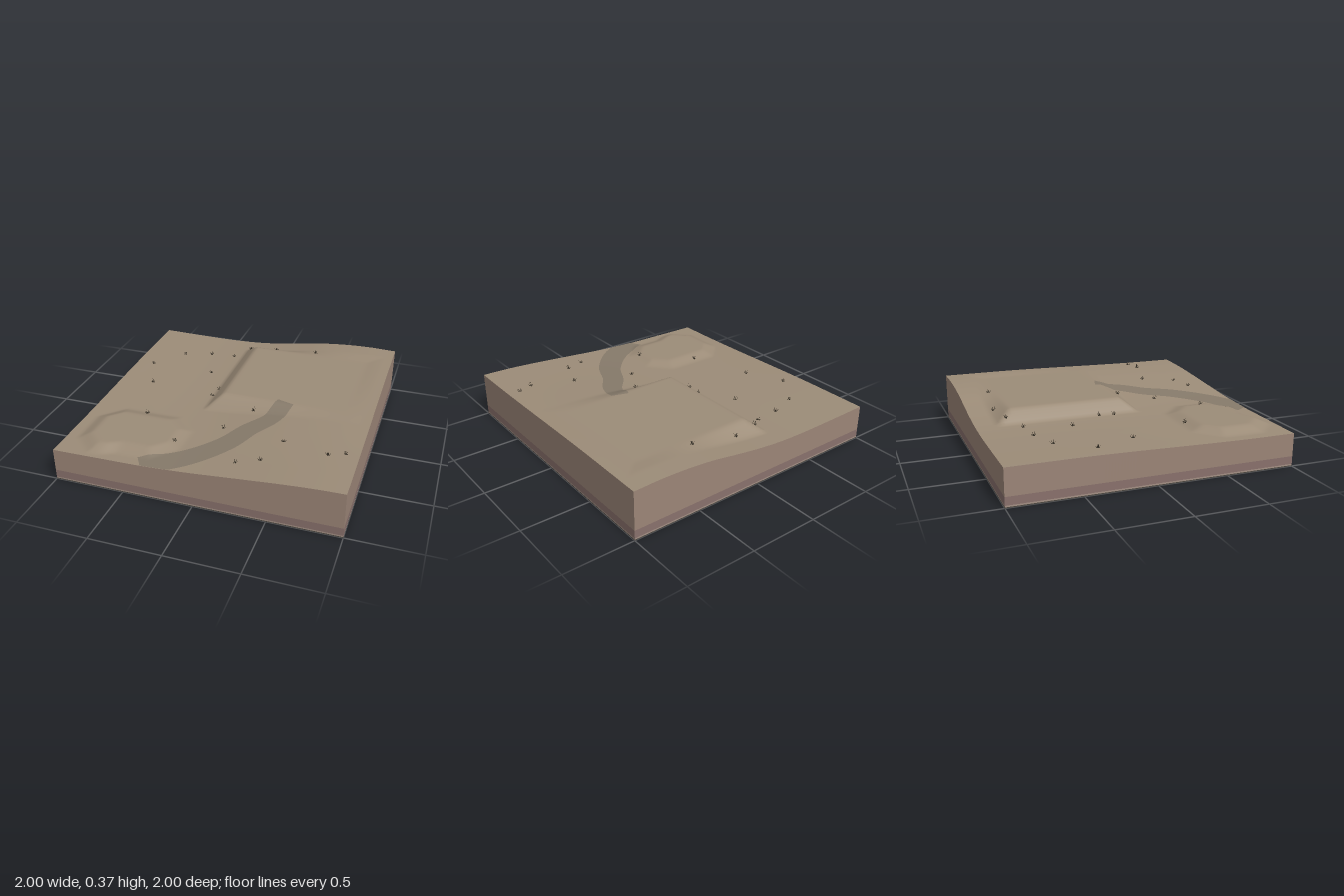
import * as THREE from 'three';

const GRID = 96;
const BAND_TOP = 0.072;
const mat = (color, side = THREE.FrontSide) => new THREE.MeshStandardMaterial({ color, side, roughness: 1 });
const clamp01 = (v) => Math.min(1, Math.max(0, v));

// Natural slope: cross profiles along x at the front and back, every 0.2 units
const FRONT = [0.235, 0.237, 0.24, 0.243, 0.246, 0.251, 0.264, 0.281, 0.298, 0.314, 0.326, 0.331];
const BACK = [0.258, 0.254, 0.251, 0.25, 0.256, 0.274, 0.302, 0.333, 0.351, 0.357, 0.352];
FRONT.splice(4, 1);
function profile(list, x) {
  const f = clamp01((x + 1) / 2) * (list.length - 1);
  const i = Math.min(list.length - 2, Math.floor(f)), t = f - i;
  const a = list[Math.max(0, i - 1)], b = list[i], c = list[i + 1], d = list[Math.min(list.length - 1, i + 2)];
  // Catmull-Rom blend keeps the hillside smooth
  return b + 0.5 * t * (c - a + t * (2 * a - 5 * b + 4 * c - d + t * (3 * (b - c) + d - a)));
}

// 1 inside a rectangle, falling to 0 across its banks
function pad(x, z, x0, x1, z0, z1, bank, corner = 0) {
  const dx = Math.max(x0 - x, x - x1, 0), dz = Math.max(z0 - z, z - z1, 0);
  const cx = Math.abs(x - (x0 + x1) / 2), cz = Math.abs(z - (z0 + z1) / 2);
  const cut = corner ? Math.max(0, (cx + cz - (x1 - x0 + z1 - z0) / 2 + corner) * 0.7) : 0;
  return clamp01(1 - Math.max(dx, dz, cut) / bank);
}

function heightAt(x, z) {
  const t = THREE.MathUtils.smoothstep(-z, -0.8, 0.6);
  let h = THREE.MathUtils.lerp(profile(FRONT, x), profile(BACK, x), t);
  // Large levelled terrace and small lower terrace
  h = THREE.MathUtils.lerp(h, 0.345, pad(x, z, -0.1, 0.82, -0.74, 0.09, 0.11));
  const z1 = 0.87 - 0.05 * THREE.MathUtils.smoothstep(x, -0.7, -0.55);
  return THREE.MathUtils.lerp(h, 0.277, pad(x, z, -0.82, -0.27, 0.45, z1, 0.09, 0.1));
}

// Terrain block: box whose top follows the height rule
function makeGround() {
  const geo = new THREE.BoxGeometry(2, 1, 2, GRID, 1, GRID);
  const p = geo.attributes.position;
  for (let i = 0; i < p.count; i++) {
    p.setY(i, p.getY(i) > 0 ? heightAt(p.getX(i), p.getZ(i)) : BAND_TOP);
  }
  geo.computeVertexNormals();
  const soil = mat(0x9b8577), turf = mat(0x9c8c78);
  const mesh = new THREE.Mesh(geo, [soil, soil, turf, soil, soil, soil]);
  mesh.name = 'ground';
  return mesh;
}

function layer(name, y0, y1, color) {
  const mesh = new THREE.Mesh(new THREE.BoxGeometry(2, y1 - y0, 2), mat(color));
  mesh.position.y = (y0 + y1) / 2;
  mesh.name = name;
  return mesh;
}

// Worn track draped over the ground
function makeTrack() {
  const curve = new THREE.CatmullRomCurve3(
    [[-0.36, 1.0], [-0.1, 0.84], [0.1, 0.62], [0.2, 0.42], [0.31, 0.26], [0.37, 0.07]]
      .map(([x, z]) => new THREE.Vector3(x, 0, z)));
  const along = 80, across = 10;
  const geo = new THREE.PlaneGeometry(1, 1, across, along);
  const p = geo.attributes.position;
  for (let j = 0; j <= along; j++) {
    const c = curve.getPoint(j / along), d = curve.getTangent(j / along);
    const half = THREE.MathUtils.lerp(0.1, 0.065, j / along);
    for (let i = 0; i <= across; i++) {
      const s = (i / across * 2 - 1) * half;
      const x = c.x - d.z * s, z = Math.min(1, c.z + d.x * s);
      p.setXYZ(j * (across + 1) + i, x, heightAt(x, z) + 0.002, z);
    }
  }
  geo.computeVertexNormals();
  const mesh = new THREE.Mesh(geo, mat(0x867a6a, THREE.DoubleSide));
  mesh.name = 'track';
  return mesh;
}

// Grass tuft: crossed upright planes of thin pointed blades
function tuftGeometry() {
  const pos = [];
  for (const turn of [0, Math.PI / 2]) {
    const cx = Math.cos(turn), cz = Math.sin(turn);
    for (const [lean, tall] of [[-0.02, 0.022], [-0.007, 0.034], [0.009, 0.03], [0.021, 0.02]]) {
      const root = lean * 0.25;
      for (const [u, y] of [[root - 0.0035, -0.004], [root + 0.0035, -0.004], [lean, tall]]) {
        pos.push(u * cx, y, u * cz);
      }
    }
  }
  const geo = new THREE.BufferGeometry();
  geo.setAttribute('position', new THREE.Float32BufferAttribute(pos, 3));
  geo.computeVertexNormals();
  return geo;
}

const TUFTS = [
  [-0.86, -0.36], [-0.68, -0.6], [-0.47, -0.67], [-0.28, -0.69], [-0.16, -0.78], [0.05, -0.82], [0.39, -0.78],
  [-0.74, -0.07], [-0.36, -0.36], [-0.21, -0.11], [-0.22, 0], [-0.58, 0.39], [-0.24, 0.69], [0.02, 0.43],
  [0.16, 0.18], [0.24, 0.83], [0.39, 0.77], [0.48, 0.53], [0.8, 0.62], [0.91, 0.58],
];

export function createModel() {
  const model = new THREE.Group();
  model.add(
    layer('basePlate', 0, 0.006, 0x4b463f),
    layer('paleStratum', 0.006, 0.016, 0xa38f84),
    layer('darkStratum', 0.016, BAND_TOP, 0x89716c),
    makeGround(),
    makeTrack(),
  );

  const grass = new THREE.Group();
  grass.name = 'grassTufts';
  const geo = tuftGeometry(), blade = mat(0x3a342a, THREE.DoubleSide);
  TUFTS.forEach(([x, z], i) => {
    const tuft = new THREE.Mesh(geo, blade);
    tuft.name = 'grassTuft';
    tuft.position.set(x, heightAt(x, z), z);
    tuft.rotation.y = i * 1.3;
    grass.add(tuft);
  });
  model.add(grass);
  return model;
}
